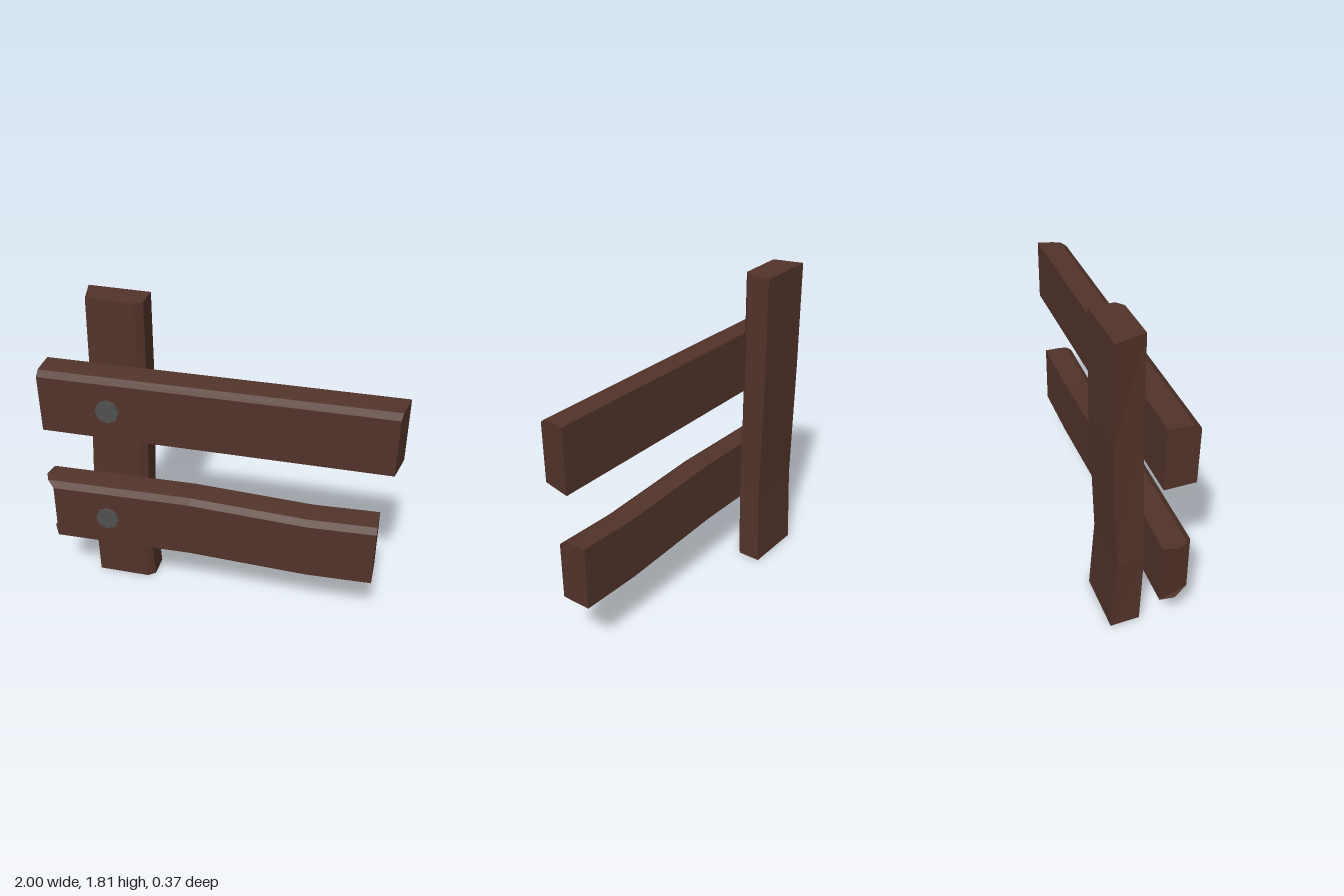
import * as THREE from 'three';

const wood = new THREE.MeshStandardMaterial({ color: 0x52332a, flatShading: true });
const iron = new THREE.MeshStandardMaterial({ color: 0x505050, flatShading: true });

// Skin a row of cross-sections; each runs counter-clockwise seen from the far end
function loft(sections, cap) {
  const pos = [];
  const n = sections[0].length;
  const tri = (a, b, c) => pos.push(...a, ...b, ...c);
  for (let i = 0; i < sections.length - 1; i++) {
    const s = sections[i], t = sections[i + 1];
    for (let k = 0; k < n; k++) {
      const m = (k + 1) % n;
      tri(s[k], s[m], t[m]);
      tri(s[k], t[m], t[k]);
    }
  }
  const first = sections[0], last = sections[sections.length - 1];
  for (const [a, b, c] of cap) {
    tri(first[a], first[c], first[b]);
    tri(last[a], last[b], last[c]);
  }
  const g = new THREE.BufferGeometry();
  g.setAttribute('position', new THREE.Float32BufferAttribute(pos, 3));
  g.computeVertexNormals();
  return g;
}

// Plank section: back bottom, back top, top middle, chamfer, front bottom, bottom middle.
// xs gives the x of each corner so that the ends can be cut roughly.
function plankSection(xs, bottom, top) {
  const zy = [[0, bottom], [0, top], [0.08, top - 0.003], [0.135, top - 0.008],
    [0.17, top - 0.035], [0.17, bottom], [0.08, bottom]];
  return zy.map(([z, y], i) => [Array.isArray(xs) ? xs[i] : xs, y, z]);
}
const plankCap = [[0, 1, 4], [0, 4, 5], [0, 5, 6], [1, 2, 3], [1, 3, 4]];

// Post section: right back, left back, left front, chamfer front, chamfer side
function postSection(y, backLeft, frontLeft, right, back, front, chamfer, slope = 0) {
  return [[right, y - slope, back], [backLeft, y, back], [frontLeft, y, front],
    [right - 0.04, y - slope, front], [right, y - slope, chamfer]];
}

export function createModel() {
  const model = new THREE.Group();
  const add = (name, geometry, material) => {
    const mesh = new THREE.Mesh(geometry, material);
    mesh.name = name;
    model.add(mesh);
    return mesh;
  };

  // Bowed upright
  add('post', loft([
    postSection(0, -0.76, -0.755, -0.41, -0.18, -0.012, -0.045),
    postSection(0.46, -0.772, -0.757, -0.43, -0.155, 0.003, -0.02),
    postSection(1.2, -0.752, -0.725, -0.41, -0.18, -0.012, -0.045),
    postSection(1.81, -0.757, -0.715, -0.41, -0.18, -0.012, -0.045, 0.006),
  ], [[0, 1, 2], [0, 2, 3], [0, 3, 4]]), wood);

  // Straight rail with a slanted right end
  add('upperRail', loft([
    plankSection([-0.95, -0.957, -0.957, -0.957, -0.955, -0.95, -0.95], 1.085, 1.445),
    plankSection([1, 1, 0.984, 0.972, 0.965, 0.965, 0.984], 1.085, 1.445),
  ], plankCap), wood);

  // Warped rail with a splintered left end
  add('lowerRail', loft([
    plankSection([-0.975, -0.985, -1, -0.975, -0.93, -0.93, -0.985], 0.365, 0.733),
    plankSection(-0.13, 0.38, 0.747),
    plankSection(0.54, 0.355, 0.718),
    plankSection(0.91, 0.366, 0.731),
  ], plankCap), wood);

  // Eight-sided bolt heads
  const head = new THREE.CylinderGeometry(0.067, 0.067, 0.03, 8).rotateX(Math.PI / 2);
  add('upperBolt', head, iron).position.set(-0.565, 1.255, 0.17);
  add('lowerBolt', head, iron).position.set(-0.61, 0.545, 0.17);

  return model;
}
